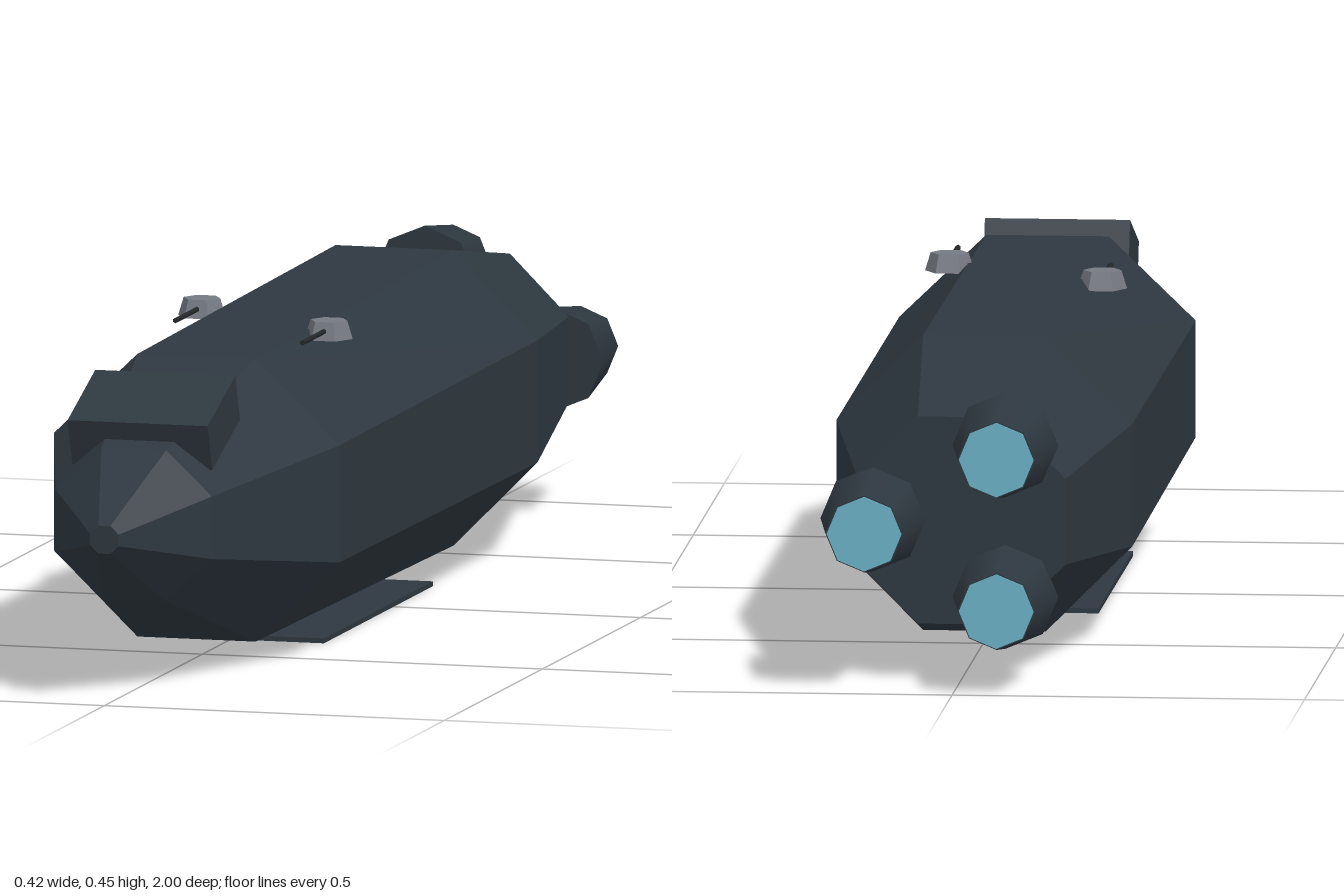
import * as THREE from 'three';

const paint = (name, color) => {
  const m = new THREE.MeshStandardMaterial({ color });
  m.name = name;
  return m;
};

// Hull sections from nose to stern: z, centre height, half width, half height
const SECTIONS = [
  [1.0, 0.237, 0.021, 0.02],
  [0.85, 0.237, 0.115, 0.108],
  [0.53, 0.228, 0.21, 0.202],
  [-0.48, 0.226, 0.21, 0.211],
  [-0.855, 0.228, 0.148, 0.148],
];

// Faceted octagonal loft with closed ends
function hullGeometry() {
  const sides = 8, k = 1 / Math.cos(Math.PI / sides), pos = [];
  const point = ([z, cy, hw, hh], j) => {
    const a = ((j + 0.5) / sides) * Math.PI * 2;
    return [Math.cos(a) * hw * k, cy + Math.sin(a) * hh * k, z];
  };
  const tri = (...pts) => pts.forEach((p) => pos.push(...p));
  const first = SECTIONS[0], last = SECTIONS[SECTIONS.length - 1];
  for (let j = 0; j < sides; j++) {
    for (let i = 0; i < SECTIONS.length - 1; i++) {
      const f = SECTIONS[i], b = SECTIONS[i + 1];
      tri(point(f, j), point(b, j), point(f, j + 1));
      tri(point(f, j + 1), point(b, j), point(b, j + 1));
    }
    tri([0, first[1], first[0]], point(first, j), point(first, j + 1));
    tri([0, last[1], last[0]], point(last, j + 1), point(last, j));
  }
  const g = new THREE.BufferGeometry();
  g.setAttribute('position', new THREE.Float32BufferAttribute(pos, 3));
  g.computeVertexNormals();
  return g;
}

export function createModel() {
  const hullPaint = paint('hull slate', 0x2e3840);
  const gunPaint = paint('turret grey', 0x757983);
  const barrelPaint = paint('barrel dark', 0x24282c);
  const glowPaint = paint('engine glow', 0x6ab0c4);

  const model = new THREE.Group();
  model.name = 'airship';
  const add = (parent, name, geometry, material, x = 0, y = 0, z = 0) => {
    const mesh = new THREE.Mesh(geometry, material);
    mesh.name = name;
    mesh.position.set(x, y, z);
    parent.add(mesh);
    return mesh;
  };

  add(model, 'hull', hullGeometry(), hullPaint);

  // Bridge block tilted down along the nose
  const bridge = add(model, 'bridge', new THREE.BoxGeometry(0.206, 0.07, 0.15), hullPaint, 0, 0.3715, 0.748);
  bridge.rotation.x = THREE.MathUtils.degToRad(20);

  // Flat plate under the belly
  add(model, 'bellyPlate', new THREE.BoxGeometry(0.274, 0.007, 0.555), hullPaint, 0, 0.0035, 0.078);

  // Three engines in a triangle around the stern
  const nozzle = new THREE.CylinderGeometry(0.075, 0.055, 0.146, 8).rotateX(Math.PI / 2);
  const glow = new THREE.CylinderGeometry(0.053, 0.053, 0.006, 8).rotateX(Math.PI / 2);
  for (let i = 0; i < 3; i++) {
    const a = (i * Math.PI * 2) / 3;
    const engine = new THREE.Group();
    engine.name = 'engine';
    engine.position.set(Math.cos(a) * 0.125, 0.228 + Math.sin(a) * 0.125, 0);
    add(engine, 'nozzle', nozzle, hullPaint, 0, 0, -0.923);
    add(engine, 'engineGlow', glow, glowPaint, 0, 0, -0.997);
    model.add(engine);
  }

  // Two staggered gun turrets on the upper edges
  const base = new THREE.CylinderGeometry(0.027, 0.035, 0.026, 6).rotateY(Math.PI / 6).toNonIndexed();
  base.computeVertexNormals();
  const barrel = new THREE.CylinderGeometry(0.004, 0.004, 0.135, 6).rotateX(Math.PI / 2);
  for (const [x, z] of [[-0.116, 0.1], [0.114, 0.25]]) {
    const turret = new THREE.Group();
    turret.name = 'turret';
    turret.position.set(x, 0.433, z);
    add(turret, 'turretBase', base, gunPaint);
    add(turret, 'gunBarrel', barrel, barrelPaint, 0, 0, 0.0675);
    model.add(turret);
  }
  return model;
}
